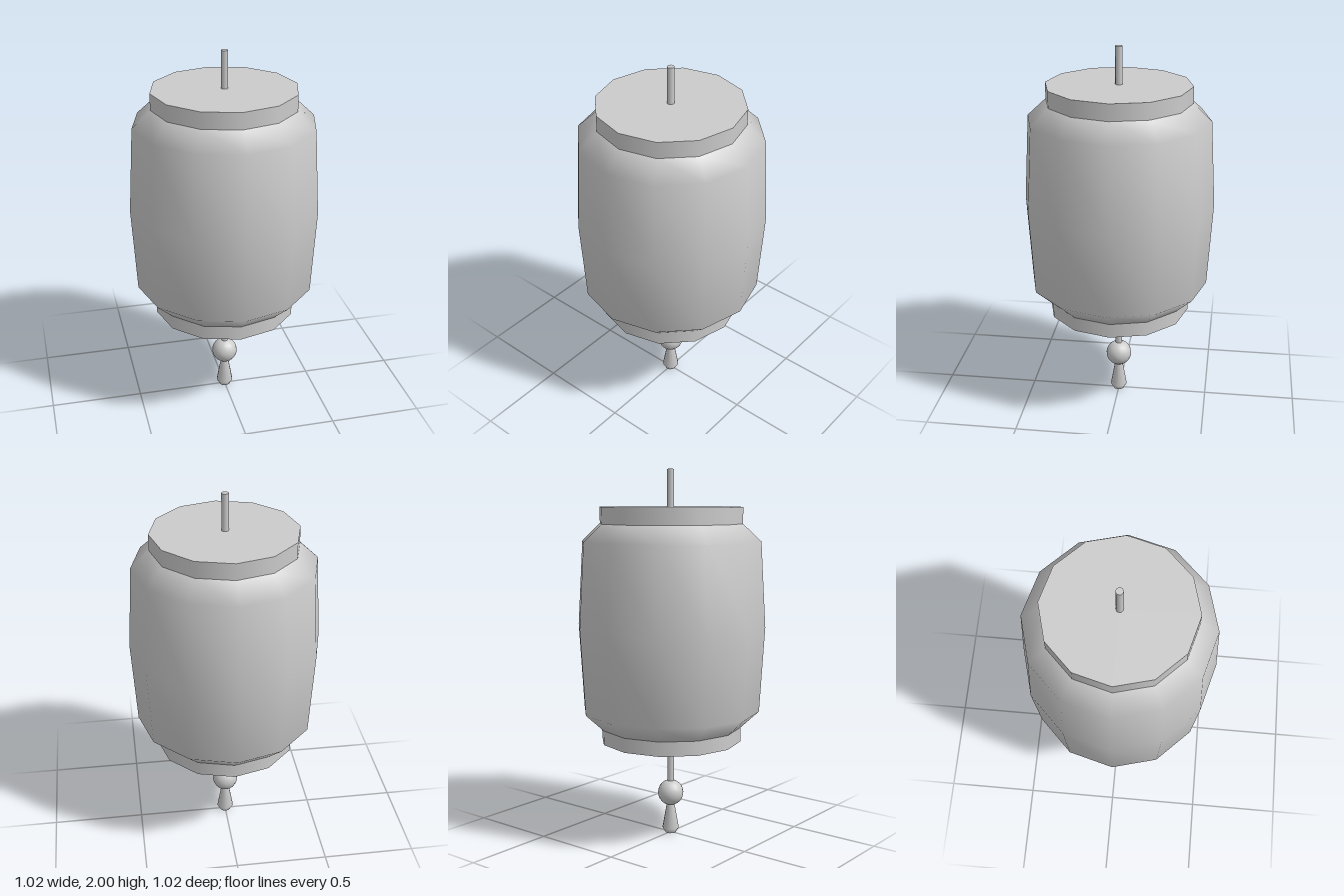
import * as THREE from 'three';

export function createModel() {
  const group = new THREE.Group();
  group.name = 'hangingLantern';
  const material = new THREE.MeshStandardMaterial({ color: 0xcccccc });

  const add = (name, geometry, y = 0) => {
    const mesh = new THREE.Mesh(geometry, material);
    mesh.name = name;
    mesh.position.y = y;
    group.add(mesh);
  };
  // Upright cylinder between two heights
  const post = (name, radius, y0, y1, sides) =>
    add(name, new THREE.CylinderGeometry(radius, radius, y1 - y0, sides), (y0 + y1) / 2);
  // Turned shape from [radius, height] pairs, listed bottom to top
  const turned = (name, profile, sides) =>
    add(name, new THREE.LatheGeometry(profile.map(([r, y]) => new THREE.Vector2(r, y)), sides));

  // Bulging twelve-sided shade
  turned('shade', [[0.385, 0.613], [0.484, 0.705], [0.511, 1.165], [0.484, 1.622], [0.385, 1.715]], 12);

  // Flat collars closing the shade
  post('topCap', 0.386, 1.713, 1.802, 12);
  post('bottomCap', 0.386, 0.536, 0.615, 12);

  // Hanging rod and tassel cord
  post('hangingRod', 0.019, 1.8, 2, 12);
  post('tasselCord', 0.019, 0.27, 0.54, 12);

  // Bead and flared tassel
  add('bead', new THREE.SphereGeometry(0.071, 16, 12), 0.23);
  turned('tassel', [[0.031, 0.003], [0.046, 0.028], [0.02, 0.175]], 12);
  post('tasselFoot', 0.031, 0, 0.004, 12);

  return group;
}
